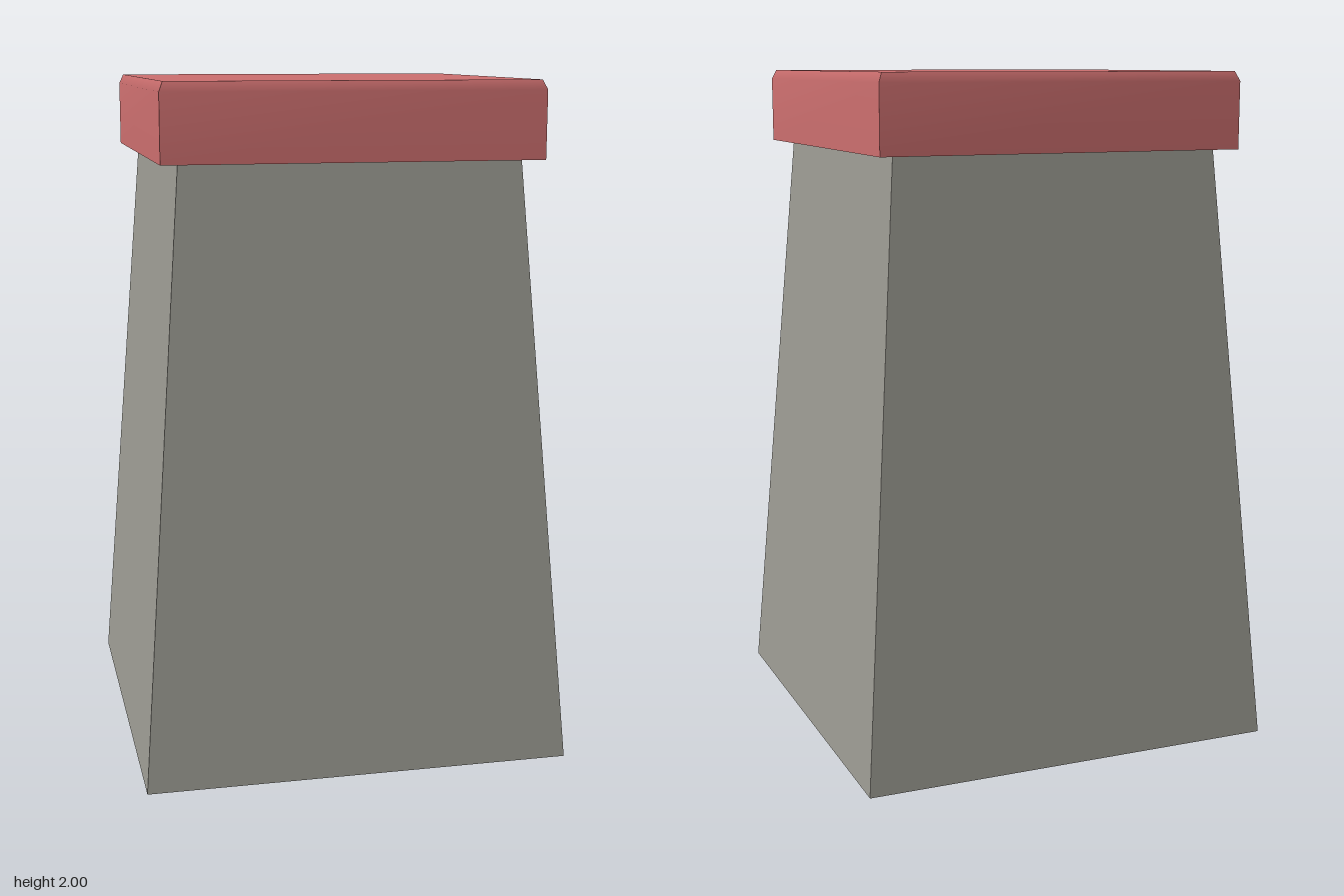
import * as THREE from 'three';
import { mergeGeometries } from 'three/addons/utils/BufferGeometryUtils.js';

// Square solid from [halfWidth, y] rows: each side is smooth vertically, corners and ends are sharp
function squareLoft(rows) {
  const parts = [];
  for (let s = 0; s < 4; s++) {
    const side = new THREE.PlaneGeometry(1, 1, 1, rows.length - 1);
    const p = side.attributes.position;
    for (let i = 0; i < p.count; i++) {
      const [w, y] = rows[rows.length - 1 - Math.floor(i / 2)];
      p.setXYZ(i, i % 2 ? w : -w, y, w);
    }
    side.computeVertexNormals();
    parts.push(side.rotateY(s * Math.PI / 2));
  }
  const [bottomW, bottomY] = rows[0];
  const [topW, topY] = rows[rows.length - 1];
  parts.push(new THREE.PlaneGeometry(2 * topW, 2 * topW).rotateX(-Math.PI / 2).translate(0, topY, 0));
  parts.push(new THREE.PlaneGeometry(2 * bottomW, 2 * bottomW).rotateX(Math.PI / 2).translate(0, bottomY, 0));
  return mergeGeometries(parts);
}

export function createModel() {
  const stone = new THREE.MeshStandardMaterial({ color: 0x9b9a92 });
  stone.name = 'warm grey';
  const red = new THREE.MeshStandardMaterial({ color: 0xcb6e6e });
  red.name = 'soft red';

  const group = new THREE.Group();
  group.name = 'pedestal';

  // Tapered column
  const column = new THREE.Mesh(squareLoft([[0.628, 0], [0.493, 1.78]]), stone);
  column.name = 'column';

  // Overhanging cap with a small bevel round the top
  const cap = new THREE.Mesh(squareLoft([[0.547, 1.777], [0.547, 1.972], [0.535, 2]]), red);
  cap.name = 'cap';

  group.add(column, cap);
  return group;
}
